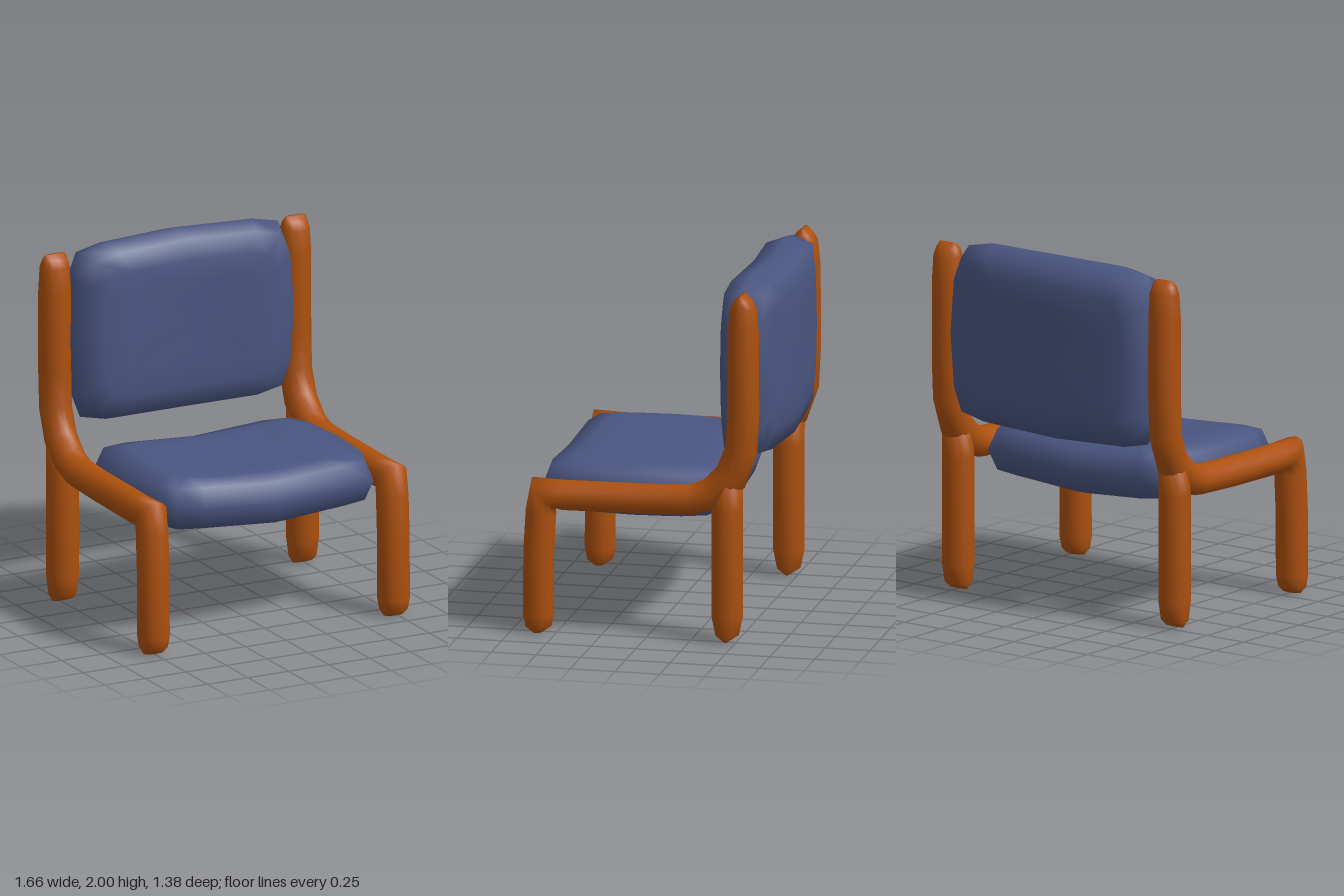
import * as THREE from 'three';

// Skin closed rings of points, with a centre point closing each end
function skin(rings, material, name) {
  const n = rings[0].length, pos = [], idx = [];
  rings.forEach(r => r.forEach(p => pos.push(p.x, p.y, p.z)));
  for (let i = 0; i < rings.length - 1; i++) {
    for (let j = 0; j < n; j++) {
      const a = i * n + j, b = i * n + (j + 1) % n;
      idx.push(a, b, a + n, b, b + n, a + n);
    }
  }
  [0, rings.length - 1].forEach((r, end) => {
    const c = new THREE.Vector3();
    // average of two opposite points is the ring centre
    c.addVectors(rings[r][0], rings[r][n / 2]).multiplyScalar(0.5);
    if (rings[r].capY !== undefined) c.y = rings[r].capY;
    const ci = pos.length / 3;
    pos.push(c.x, c.y, c.z);
    for (let j = 0; j < n; j++) {
      const a = r * n + j, b = r * n + (j + 1) % n;
      if (end) idx.push(ci, a, b); else idx.push(ci, b, a);
    }
  });
  const g = new THREE.BufferGeometry();
  g.setAttribute('position', new THREE.Float32BufferAttribute(pos, 3));
  g.setIndex(idx);
  g.computeVertexNormals();
  const mesh = new THREE.Mesh(g, material);
  mesh.name = name;
  return mesh;
}

// Rounded bar swept in the YZ plane; each stop is [z, y, half width in x, half depth]
function bar(stops, material, name) {
  const SIDES = 12;
  const pts = stops.map(([z, y]) => new THREE.Vector3(0, y, z));
  const rings = stops.map(([, , rx, rn], i) => {
    const t = new THREE.Vector3();
    if (i > 0) t.add(pts[i].clone().sub(pts[i - 1]).normalize());
    if (i < pts.length - 1) t.add(pts[i + 1].clone().sub(pts[i]).normalize());
    t.normalize();
    const ring = [];
    for (let j = 0; j < SIDES; j++) {
      const a = j / SIDES * Math.PI * 2, s = Math.sin(a) * rn;
      ring.push(new THREE.Vector3(Math.cos(a) * rx, pts[i].y + t.z * s, pts[i].z - t.y * s));
    }
    return ring;
  });
  return skin(rings, material, name);
}

// Pillow with a rounded outline, dished across its width; its face points to +y
function cushion(material, name) {
  const HW = 0.69, HD = 0.515, HALF = 0.148;
  const q = [[0.69, 0], [0.665, 0.33], [0.61, 0.47], [0.45, 0.505], [0, 0.515]];
  const outline = [
    ...q,
    ...q.slice(0, 4).reverse().map(([x, z]) => [-x, z]),
    ...q.slice(1).map(([x, z]) => [-x, -z]),
    ...q.slice(1, 4).reverse().map(([x, z]) => [x, -z]),
  ];
  // [inset from the outline, share of the half thickness]
  const half = [[0.38, 1], [0.27, 1], [0.15, 0.98], [0.04, 0.77]];
  const layers = [
    ...half.map(([i, h]) => [i, -h]),
    [0, 0],
    ...half.slice().reverse(),
  ];
  const rings = layers.map(([inset, h]) => {
    const sx = (HW - inset) / HW, sz = (HD - inset) / HD;
    const ring = outline.map(([x, z]) => {
      const u = Math.min(1, Math.abs(x * sx) / 0.45);
      return new THREE.Vector3(x * sx, h * HALF + 0.032 * u * u, -z * sz);
    });
    ring.capY = h * HALF;
    return ring;
  });
  return skin(rings, material, name);
}

export function createModel() {
  const wood = new THREE.MeshStandardMaterial({ color: 0xac500e });
  wood.name = 'orange wood';
  const fabric = new THREE.MeshStandardMaterial({ color: 0x4a5681 });
  fabric.name = 'blue fabric';

  const chair = new THREE.Group();
  chair.name = 'chair';

  // Cushions
  const seat = cushion(fabric, 'seatCushion');
  seat.position.set(0.01, 0.75, 0.13);
  const back = cushion(fabric, 'backCushion');
  back.rotation.x = Math.PI / 2;
  back.position.set(0.01, 1.487, -0.543);
  chair.add(seat, back);

  // Front leg, side rail and back post in one bent bar
  const framePath = [
    [0.605, 0.005, 0.06, 0.03], [0.605, 0.035, 0.08, 0.073], [0.605, 0.1, 0.09, 0.086],
    [0.603, 0.45, 0.09, 0.086], [0.59, 0.68, 0.09, 0.086], [0.575, 0.785, 0.09, 0.105],
    [0.46, 0.777, 0.09, 0.085], [0, 0.783, 0.09, 0.085], [-0.25, 0.793, 0.09, 0.086],
    [-0.36, 0.83, 0.09, 0.09], [-0.47, 0.93, 0.09, 0.095], [-0.53, 1.09, 0.09, 0.09],
    [-0.54, 1.3, 0.09, 0.09], [-0.54, 1.75, 0.09, 0.088], [-0.54, 1.89, 0.085, 0.073],
    [-0.538, 1.935, 0.075, 0.045], [-0.538, 1.962, 0.06, 0.012],
  ];
  const legPath = [
    [-0.45, 0.012, 0.06, 0.012], [-0.45, 0.045, 0.08, 0.065], [-0.45, 0.15, 0.09, 0.088],
    [-0.45, 0.75, 0.09, 0.088], [-0.46, 0.9, 0.085, 0.08],
  ];
  for (const [side, x] of [['left', 0.74], ['right', -0.74]]) {
    const frame = new THREE.Group();
    frame.name = side + 'Frame';
    frame.position.x = x;
    frame.add(bar(framePath, wood, side + 'FrontLegRailAndPost'), bar(legPath, wood, side + 'BackLeg'));
    chair.add(frame);
  }
  return chair;
}
